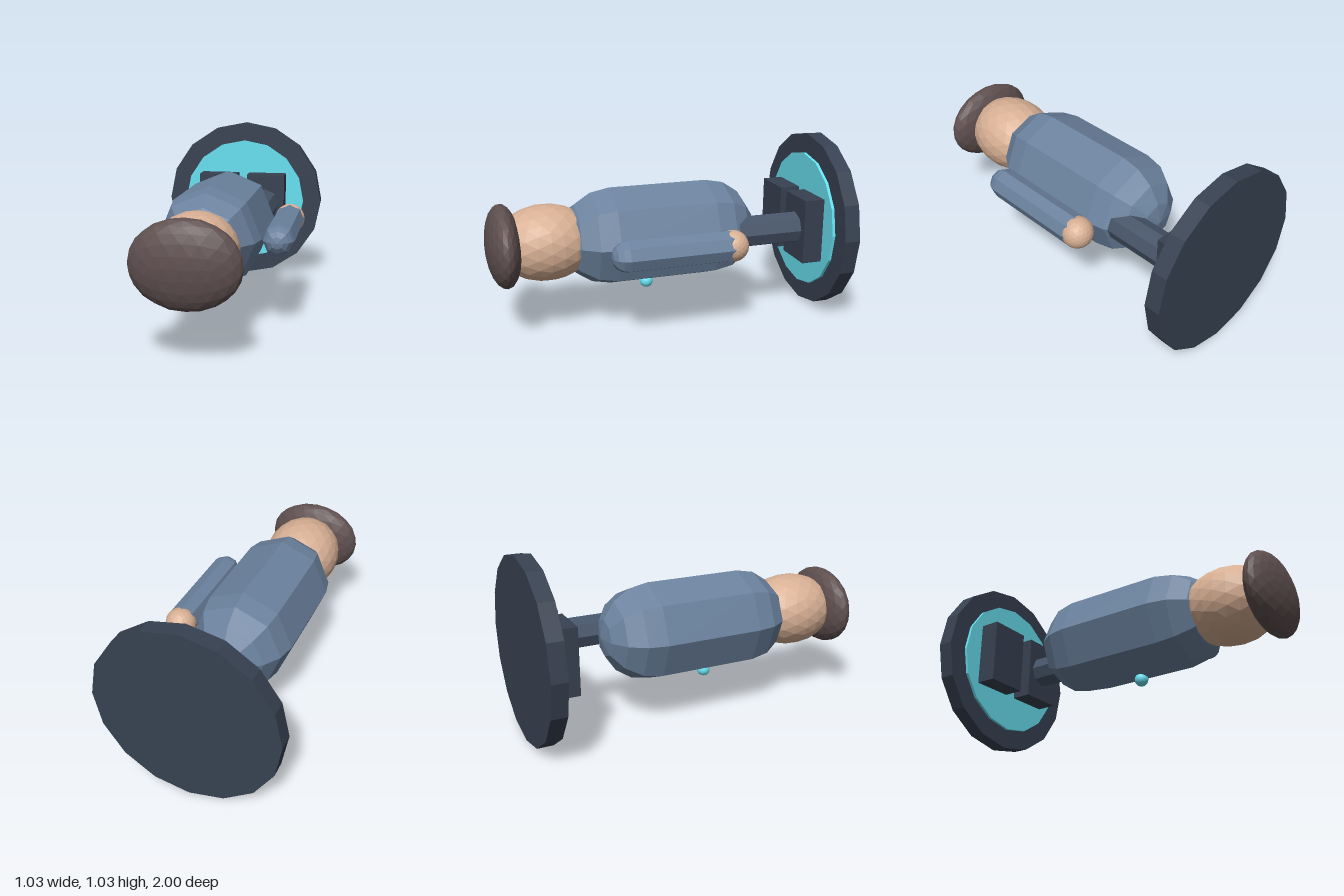
import * as THREE from 'three';

const mat = (color) => new THREE.MeshStandardMaterial({ color, flatShading: true });

export function createModel() {
  const cloth = mat(0x6b829e), dark = mat(0x374151), glow = mat(0x67e0f0);
  const trousers = mat(0x475569), skin = mat(0xd8b094), hairMat = mat(0x5f4f4f);

  // Built upright along y, then laid down so that its top faces +z
  const figure = new THREE.Group();
  figure.name = 'figure';
  const add = (name, geometry, material, x, y, z = 0) => {
    const mesh = new THREE.Mesh(geometry, material);
    mesh.name = name;
    mesh.position.set(x, y, z);
    figure.add(mesh);
    return mesh;
  };
  // Eight-sided capsule whose straight part runs from y0 to y1
  const capsule = (name, material, r, x, y0, y1) =>
    add(name, new THREE.CapsuleGeometry(r, y1 - y0, 4, 8), material, x, (y0 + y1) / 2);
  // Faceted ball, stretched per axis
  const ball = (name, material, rx, ry, rz, x, y, z = 0) =>
    add(name, new THREE.IcosahedronGeometry(1, 3).scale(rx, ry, rz), material, x, y, z);

  // Round stand with a bright inlay
  add('base', new THREE.CylinderGeometry(0.515, 0.515, 0.09, 16), dark, 0, -0.955);
  add('baseInlay', new THREE.CylinderGeometry(0.4, 0.4, 0.03, 16), glow, 0, -0.908);

  // Feet and the single leg
  for (const side of [-1, 1]) {
    add(side > 0 ? 'leftFoot' : 'rightFoot', new THREE.BoxGeometry(0.247, 0.12, 0.373), dark, side * 0.159, -0.835);
  }
  capsule('leg', trousers, 0.092, 0.157, -0.4, -0.78);
  figure.children.at(-1).geometry = new THREE.CapsuleGeometry(0.092, 0.38, 4, 8);

  // Torso, button, arm and hand
  capsule('torso', cloth, 0.283, 0, -0.27, 0.3);
  ball('button', glow, 0.038, 0.038, 0.038, 0, 0.085, 0.294);
  capsule('arm', cloth, 0.087, 0.373, -0.28, 0.297);
  ball('hand', skin, 0.088, 0.088, 0.088, 0.373, -0.298);

  // Head and hair
  ball('head', skin, 0.225, 0.28, 0.213, 0, 0.665);
  ball('hair', hairMat, 0.283, 0.097, 0.229, 0, 0.899);

  figure.rotation.x = Math.PI / 2;
  figure.position.y = 0.517;
  const model = new THREE.Group();
  model.name = 'model';
  model.add(figure);
  return model;
}
